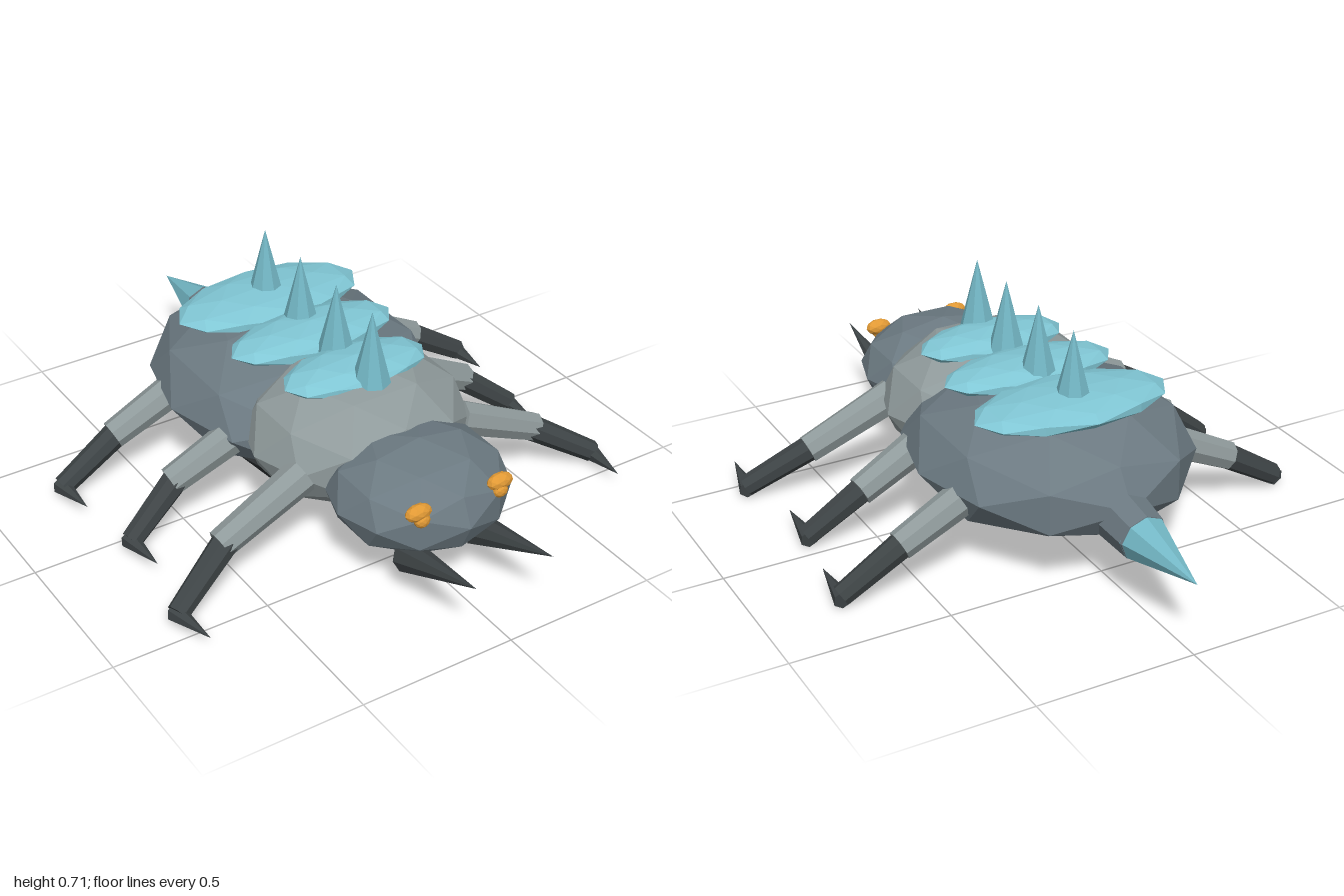
import * as THREE from 'three';

const mat = (color) => new THREE.MeshStandardMaterial({ color, flatShading: true });

export function createModel() {
  const model = new THREE.Group();
  model.name = 'armouredBeetle';
  const shell = mat(0x6c7a82), pale = mat(0x8f9a9b), dark = mat(0x3e4446);
  const belly = mat(0x2c3032), plate = mat(0x80c6d4), spike = mat(0x74b8c6), amber = mat(0xe29a35);

  const add = (name, geometry, material, parent = model) => {
    const mesh = new THREE.Mesh(geometry, material);
    mesh.name = name;
    parent.add(mesh);
    return mesh;
  };

  // Faceted ellipsoid
  const blob = (name, pos, radii, material, detail = 1, parent = model) => {
    const mesh = add(name, new THREE.IcosahedronGeometry(1, detail), material, parent);
    mesh.position.set(...pos);
    mesh.scale.set(...radii);
    return mesh;
  };

  // Tapered prism from point a to point b; r2 = 0 makes a spike
  const limb = (name, a, b, r1, r2, sides, material, parent = model) => {
    const from = new THREE.Vector3(...a), to = new THREE.Vector3(...b);
    const dir = to.clone().sub(from);
    const mesh = add(name, new THREE.CylinderGeometry(r2, r1, dir.length(), sides), material, parent);
    mesh.position.copy(from).add(to).multiplyScalar(0.5);
    mesh.quaternion.setFromUnitVectors(new THREE.Vector3(0, 1, 0), dir.normalize());
    return mesh;
  };

  // Body segments
  blob('abdomen', [0, 0.285, -0.17], [0.435, 0.21, 0.495], shell);
  blob('thorax', [0, 0.295, 0.2], [0.36, 0.22, 0.31], pale);
  blob('head', [0, 0.258, 0.53], [0.28, 0.164, 0.262], shell);
  blob('belly', [0, 0.165, 0], [0.3, 0.105, 0.36], belly);

  // Back plates, widening towards the rear
  [[0.19, 0.245, 0.125], [-0.05, 0.285, 0.13], [-0.31, 0.32, 0.165]].forEach(([z, rx, rz]) =>
    blob('backPlate', [0, 0.48, z], [rx, 0.045, rz], plate));

  // Row of spikes along the spine
  [0.28, 0.088, -0.113, -0.32].forEach((z) =>
    limb('backSpike', [0, 0.48, z], [0, 0.715, z], 0.06, 0, 8, spike));

  // Tail collar and stinger
  limb('tailCollar', [0, 0.25, -0.58], [0, 0.233, -0.73], 0.088, 0.076, 8, shell);
  limb('tailStinger', [0, 0.234, -0.72], [0, 0.228, -1], 0.077, 0, 8, spike);

  // Legs: hip, knee, foot and claw tip
  const legs = [
    ['frontLeg', [0.28, 0.285, 0.34], [0.57, 0.155, 0.355], [0.755, 0.036, 0.43], [0.735, 0.045, 0.585]],
    ['middleLeg', [0.3, 0.285, 0.035], [0.545, 0.165, 0.015], [0.705, 0.036, 0.055], [0.7, 0.045, 0.21]],
    ['backLeg', [0.3, 0.285, -0.305], [0.57, 0.155, -0.315], [0.755, 0.036, -0.305], [0.747, 0.045, -0.155]],
  ];

  for (const side of [1, -1]) {
    const m = ([x, y, z]) => [x * side, y, z];
    const prefix = side > 0 ? 'left' : 'right';

    for (const [name, hip, knee, foot, tip] of legs) {
      const leg = new THREE.Group();
      leg.name = prefix + name[0].toUpperCase() + name.slice(1);
      model.add(leg);
      // The shin starts slightly inside the thigh
      const shinTop = hip.map((v, i) => v * 0.1 + knee[i] * 0.9);
      limb('thigh', m(hip), m(knee), 0.056, 0.046, 8, pale, leg);
      limb('shin', m(shinTop), m(foot), 0.042, 0.034, 8, dark, leg);
      limb('claw', m([foot[0], foot[1] - 0.006, foot[2] - 0.015]), m(tip), 0.03, 0, 6, dark, leg);
    }

    // Mandible curving up and forward
    limb(prefix + 'Mandible', m([0.122, 0.13, 0.66]), m([0.133, 0.24, 1]), 0.052, 0, 8, dark);

    // Eye with a flattened lid and a small lower lobe
    const eye = new THREE.Group();
    eye.name = prefix + 'Eye';
    model.add(eye);
    blob('eyeLid', m([0.142, 0.335, 0.732]), [0.044, 0.027, 0.025], amber, 1, eye);
    blob('eyeLobe', m([0.136, 0.313, 0.742]), [0.026, 0.024, 0.02], amber, 1, eye);
  }

  return model;
}
